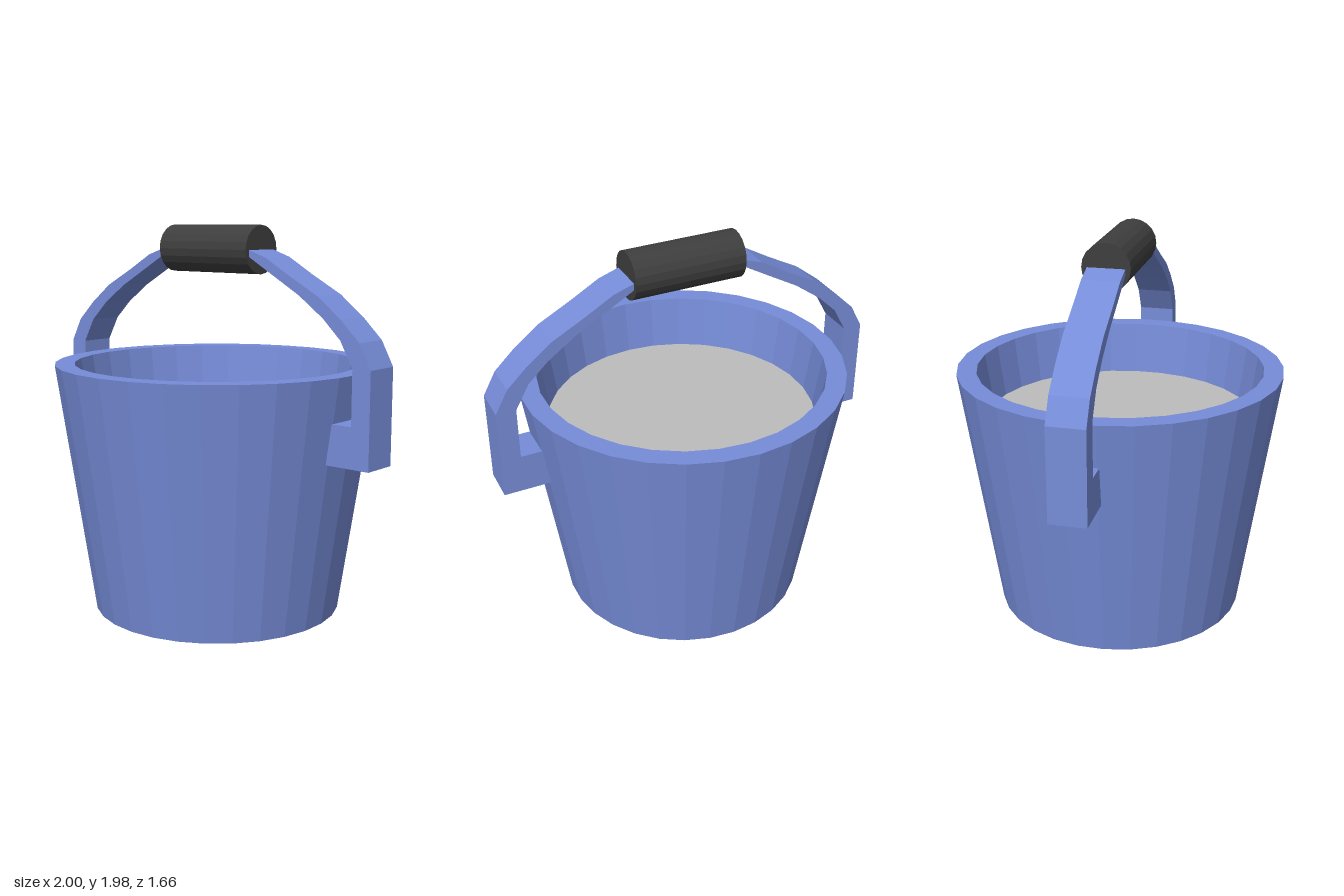
import * as THREE from 'three';

const material = (name, color) => {
  const m = new THREE.MeshStandardMaterial({ color, flatShading: true });
  m.name = name;
  return m;
};

export function createModel() {
  const group = new THREE.Group();
  group.name = 'bucket';
  const blue = material('blue', 0x768cd8);
  const grey = material('grey', 0xbcbcbc);
  const black = material('black', 0x3e3e3e);
  const SIDES = 30;

  const add = (name, geometry, mat) => {
    const mesh = new THREE.Mesh(geometry, mat);
    mesh.name = name;
    group.add(mesh);
    return mesh;
  };

  // Tapered pail: base, outer wall, rim and inner wall
  const profile = [[0, 0], [0.64, 0], [0.83, 1.28], [0.73, 1.28], [0.69, 1.01]];
  add('pail', new THREE.LatheGeometry(profile.map(([x, y]) => new THREE.Vector2(x, y)), SIDES), blue);

  // Level surface of the contents
  const contents = add('contents', new THREE.CylinderGeometry(0.69, 0.68, 0.02, SIDES), grey);
  contents.position.y = 1.0;

  // Handle with hooked ends, half outline mirrored across x
  const outer = [[0.75, 0.86], [1, 0.86], [1, 1.33], [0.935, 1.45], [0.83, 1.55],
    [0.7, 1.65], [0.53, 1.74], [0.39, 1.82], [0.28, 1.857]];
  const inner = [[0.28, 1.825], [0.43, 1.74], [0.59, 1.65], [0.73, 1.55], [0.83, 1.455],
    [0.9, 1.33], [0.9, 1.06], [0.75, 1.06]];
  const mirror = (points) => points.map(([x, y]) => [-x, y]).reverse();
  const outline = [...outer, ...mirror(outer), ...mirror(inner), ...inner];
  const handle = new THREE.ExtrudeGeometry(
    new THREE.Shape(outline.map(([x, y]) => new THREE.Vector2(x, y))),
    { depth: 0.186, bevelEnabled: false });
  handle.translate(0, 0, -0.093);
  add('handle', handle, blue);

  // Round grip on the handle
  const grip = add('grip', new THREE.CylinderGeometry(0.12, 0.12, 0.574, 20), black);
  grip.rotation.z = Math.PI / 2;
  grip.position.y = 1.855;

  return group;
}
